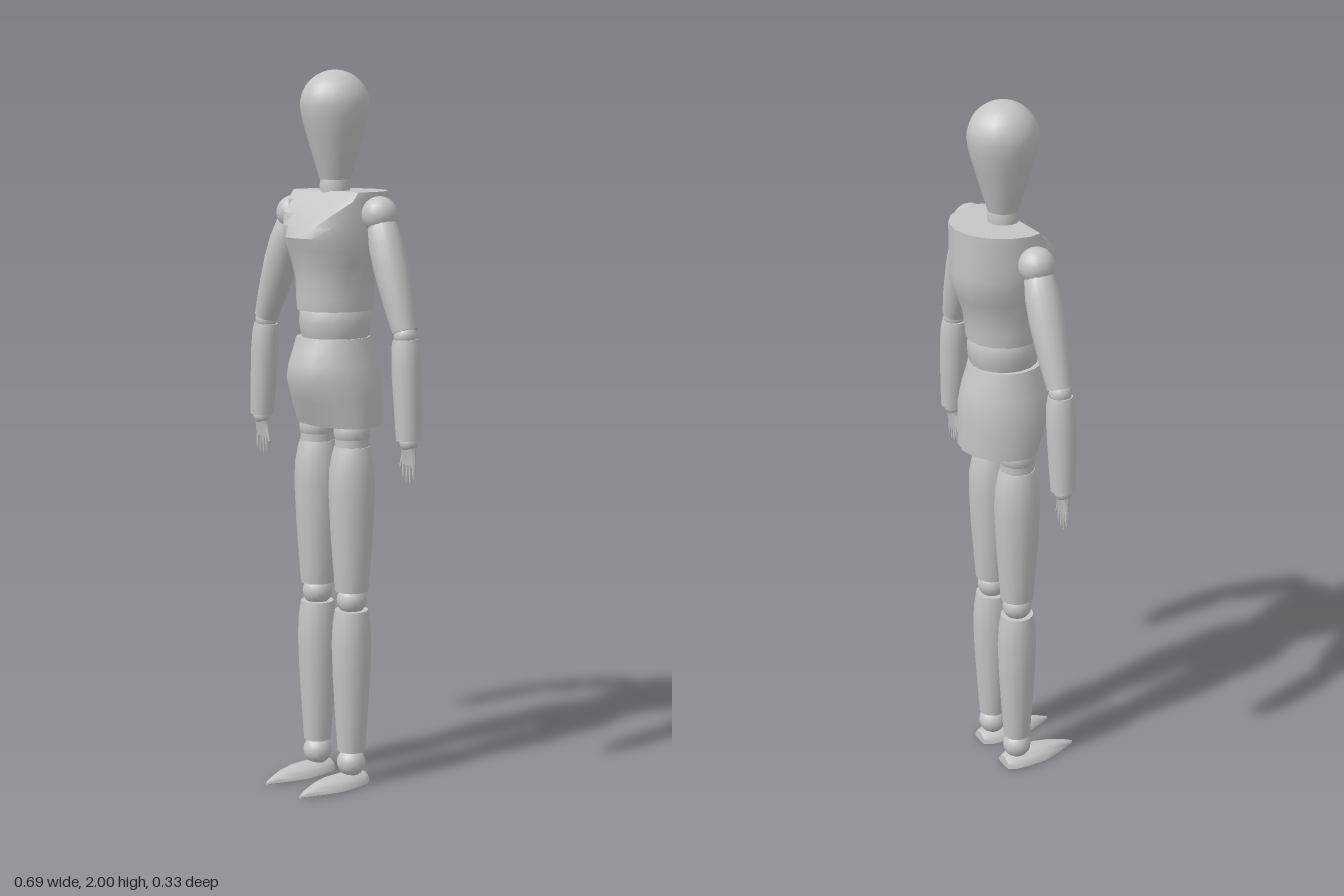
import * as THREE from 'three';
import { toCreasedNormals } from 'three/addons/utils/BufferGeometryUtils.js';

const SIDES = 16;
const Z = -0.023; // depth of the body axis

// Closed surface through rings [height, halfWidth, frontDepth, backDepth, frontCut], bottom to top
function loft(rings, crease = 0.65, sides = SIDES) {
  const pos = [], idx = [];
  const all = [[rings[0][0], 0], ...rings, [rings[rings.length - 1][0], 0]];
  all.forEach(([y, w, front = w, back = front, cut = 1]) => {
    for (let i = 0; i < sides; i++) {
      const a = (i / sides) * Math.PI * 2, s = Math.sin(a);
      pos.push(w * Math.cos(a), y, Math.min(s * (s > 0 ? front : back), cut));
    }
  });
  const last = all.length - 2;
  for (let j = 0; j <= last; j++) {
    for (let i = 0; i < sides; i++) {
      const k = (i + 1) % sides;
      const a = j * sides + i, b = j * sides + k, c = a + sides, d = b + sides;
      if (j > 0) idx.push(a, c, b);
      if (j < last) idx.push(b, c, d);
    }
  }
  const g = new THREE.BufferGeometry();
  g.setAttribute('position', new THREE.Float32BufferAttribute(pos, 3));
  g.setIndex(idx);
  return toCreasedNormals(g, crease);
}

export function createModel() {
  const model = new THREE.Group();
  model.name = 'jointedMannequin';
  const grey = new THREE.MeshStandardMaterial({ color: 0xc4c4c4 });
  grey.name = 'plain grey';

  function add(name, geometry, x, y, z = Z) {
    const mesh = new THREE.Mesh(geometry, grey);
    mesh.name = name;
    mesh.position.set(x, y, z);
    model.add(mesh);
    return mesh;
  }
  const ball = (name, r, x, y) => add(name, new THREE.SphereGeometry(r, SIDES, 12), x, y);

  // Limb piece between two points; profile is [fraction, radius, depth]
  function limb(name, from, to, profile, sides = SIDES) {
    const a = new THREE.Vector3(...from), dir = new THREE.Vector3(...to).sub(a);
    const len = dir.length();
    const rings = profile.map(([t, r, d = r]) => [t * len, r, d]);
    const mesh = add(name, loft(rings, 0.65, sides), ...from);
    mesh.quaternion.setFromUnitVectors(new THREE.Vector3(0, 1, 0), dir.normalize());
    return mesh;
  }

  // Head: straight tapered jaw running into a round skull
  const head = [[1.705, 0.042], [1.76, 0.059], [1.82, 0.077], [1.87, 0.091]];
  for (let i = 0; i <= 8; i++) {
    const a = (i / 8) * Math.PI / 2;
    head.push([1.905 + 0.095 * Math.sin(a), Math.max(0.096 * Math.cos(a), 0.001)]);
  }
  add('head', loft(head), 0.008, 0);
  add('neck', loft([[1.66, 0.04], [1.69, 0.043], [1.72, 0.036]]), 0.008, 0);

  // Chest: round at the breast line, with the upper front cut back to the collar
  add('chest', loft([
    [1.35, 0.104, 0.108, 0.102], [1.385, 0.107, 0.111, 0.105], [1.43, 0.109, 0.11, 0.112],
    [1.475, 0.122, 0.118, 0.13], [1.515, 0.134, 0.13, 0.145], [1.55, 0.14, 0.143, 0.145],
    [1.58, 0.142, 0.145, 0.145, 0.123], [1.615, 0.144, 0.145, 0.145, 0.099],
    [1.65, 0.145, 0.145, 0.145, 0.066], [1.675, 0.146, 0.145, 0.145, 0.035],
  ], 0.6), 0.01, 0);
  add('waist', loft([[1.265, 0.09], [1.285, 0.096], [1.315, 0.1], [1.345, 0.098], [1.36, 0.09]]), 0.009, 0);
  add('pelvis', loft([
    [1.03, 0.134, 0.075, 0.13], [1.1, 0.134, 0.107, 0.13], [1.16, 0.13, 0.135, 0.129],
    [1.2, 0.121, 0.132, 0.122], [1.24, 0.11, 0.118, 0.11], [1.275, 0.102, 0.107, 0.1],
  ], 0.9), 0.005, 0);

  // Legs
  for (const [side, x] of [['right', -0.067], ['left', 0.08]]) {
    ball(side + 'HipBall', 0.051, x, 1.015);
    add(side + 'HipPeg', loft([[0.96, 0.047], [1.02, 0.047]]), x, 0);
    add(side + 'Thigh', loft([
      [0.565, 0.047], [0.64, 0.053], [0.74, 0.06], [0.85, 0.065], [0.91, 0.063], [0.955, 0.055], [0.975, 0.049],
    ]), x, 0);
    ball(side + 'KneeBall', 0.042, x, 0.538);
    add(side + 'Shin', loft([
      [0.1, 0.039], [0.2, 0.046], [0.32, 0.053], [0.41, 0.056], [0.47, 0.053], [0.51, 0.047],
    ]), x, 0);
    ball(side + 'AnkleBall', 0.041, x, 0.065);

    // Foot: rings run heel to toe, flat sole and arched top, tapering to a point
    const foot = add(side + 'Foot', loft([
      [-0.067, 0.03, 0.004, 0.026], [-0.045, 0.042, 0.004, 0.032], [0, 0.046, 0.004, 0.032],
      [0.05, 0.046, 0.004, 0.032], [0.1, 0.032, 0.004, 0.027], [0.14, 0.016, 0.004, 0.016],
      [0.167, 0.004, 0.004, 0.005],
    ]), x, 0.004, 0);
    foot.rotation.x = Math.PI / 2;
  }

  // Arms: shoulder, elbow and wrist points for each side
  const arms = [
    ['right', -1, [-0.168, 1.607], [-0.293, 1.3], [-0.313, 1.02]],
    ['left', 1, [0.19, 1.617], [0.293, 1.305], [0.309, 1.02]],
  ];
  for (const [side, s, sh, el, wr] of arms) {
    ball(side + 'ShoulderBall', 0.049, ...sh);
    limb(side + 'UpperArm', [...el, Z], [...sh, Z], [
      [0.02, 0.034], [0.25, 0.042], [0.55, 0.048], [0.75, 0.047], [0.9, 0.04], [0.97, 0.03],
    ]);
    ball(side + 'ElbowBall', 0.031, el[0], el[1] - 0.005);
    limb(side + 'Forearm', [...wr, Z], [el[0], el[1] - 0.015, Z], [
      [0, 0.034], [0.3, 0.037], [0.7, 0.04], [0.92, 0.038], [1, 0.034],
    ]);

    // Hand: flattened palm, four slim fingers and an inner thumb
    const x = wr[0], y = wr[1];
    ball(side + 'WristBall', 0.025, x, y - 0.006);
    limb(side + 'Palm', [x, y - 0.065, Z], [x, y - 0.01, Z], [
      [0, 0.024, 0.007], [0.4, 0.025, 0.011], [0.8, 0.022, 0.018], [1, 0.02, 0.02],
    ]);
    for (let i = 0; i < 4; i++) {
      const fx = (i - 1.5) * 0.012, tip = y - (i === 1 || i === 2 ? 0.115 : 0.104);
      limb(side + 'Finger' + (i + 1), [x + fx * 1.15, tip, Z], [x + fx, y - 0.055, Z],
        [[0, 0.002], [0.2, 0.0035], [1, 0.005]], 8);
    }
    limb(side + 'Thumb', [x - s * 0.032, y - 0.078, Z], [x - s * 0.018, y - 0.03, Z],
      [[0, 0.003], [0.2, 0.004], [1, 0.006]], 8);
  }
  return model;
}
